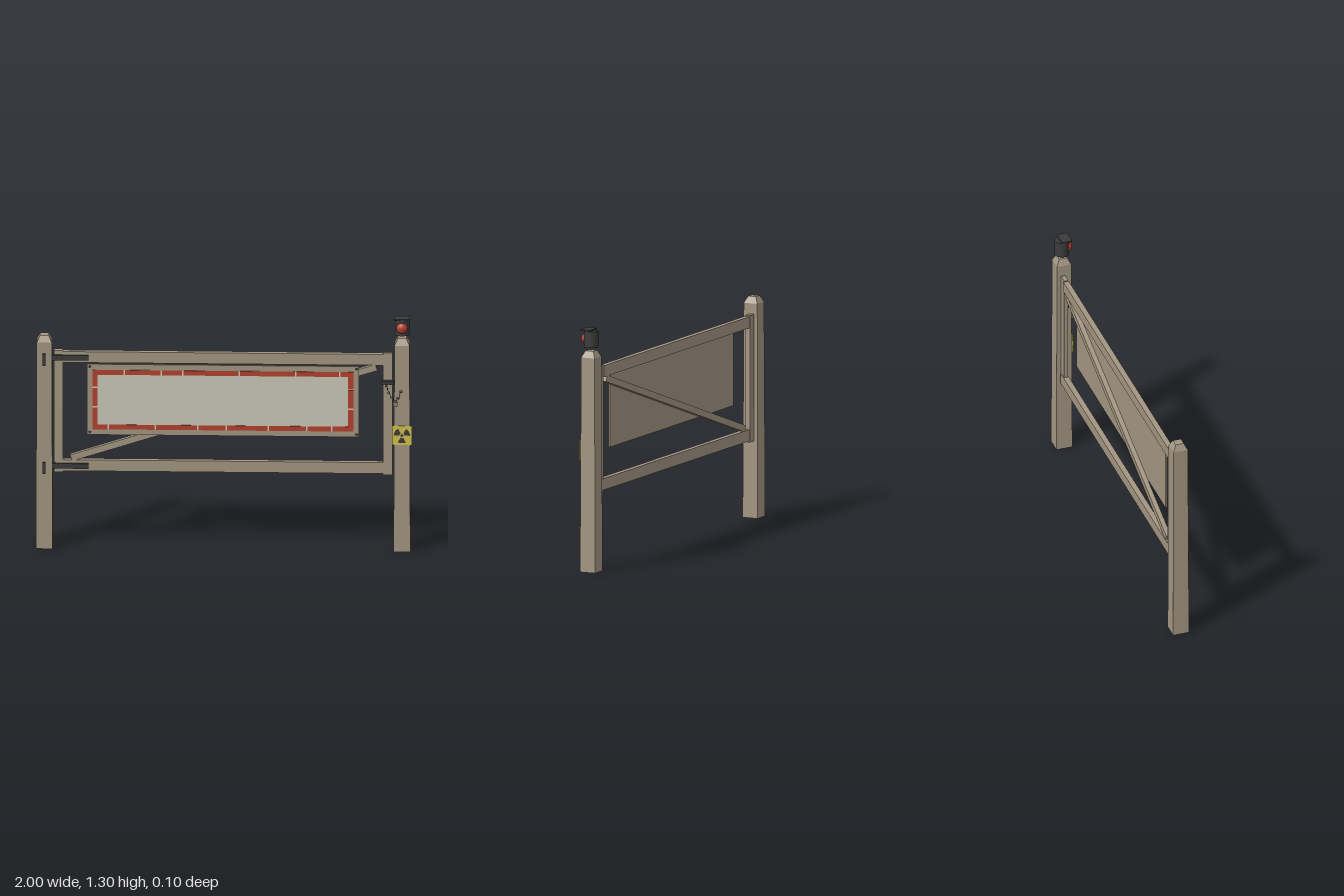
import * as THREE from 'three';

const mat = (name, color, flat = false) => {
  const m = new THREE.MeshStandardMaterial({ color });
  m.name = name;
  m.flatShading = flat;
  return m;
};

export function createModel() {
  const wood = mat('weatheredWood', 0xa39682, true);
  const panel = mat('palePanel', 0xcbc7b8);
  const red = mat('fadedRed', 0xb5402f);
  const dark = mat('darkIron', 0x3b3b3c);
  const yellow = mat('warningYellow', 0xd2c04e);
  const steel = mat('greySteel', 0x85837d);
  const root = new THREE.Group();

  const add = (name, geo, m, parent = root) => {
    const mesh = new THREE.Mesh(geo, m);
    mesh.name = name;
    parent.add(mesh);
    return mesh;
  };
  // Box given by its limits on each axis
  const box = (name, m, x0, x1, y0, y1, z0, z1, parent = root) => {
    const mesh = add(name, new THREE.BoxGeometry(x1 - x0, y1 - y0, z1 - z0), m, parent);
    mesh.position.set((x0 + x1) / 2, (y0 + y1) / 2, (z0 + z1) / 2);
    return mesh;
  };
  const group = (name) => {
    const g = new THREE.Group();
    g.name = name;
    root.add(g);
    return g;
  };

  // Square posts, slightly tapered with chamfered tops
  const profile = [[0, 0], [0.0445, 0], [0.043, 0.4], [0.04, 1.155], [0.023, 1.19], [0, 1.19]]
    .map(([r, y]) => new THREE.Vector2(r * Math.SQRT2, y));
  for (const [name, x] of [['rightPost', -0.956], ['leftPost', 0.942]]) {
    const geo = new THREE.LatheGeometry(profile, 4).rotateY(Math.PI / 4);
    add(name, geo, wood).position.set(x, 0, -0.005);
  }

  // Gate frame
  const gate = group('gate');
  box('hingeStile', wood, -0.906, -0.858, 0.417, 1.1, -0.032, -0.002, gate);
  box('latchStile', wood, 0.84, 0.89, 0.417, 1.1, -0.026, -0.004, gate);
  box('topRail', wood, -0.895, 0.845, 1.033, 1.094, -0.03, 0, gate);
  box('bottomRail', wood, -0.895, 0.885, 0.425, 0.487, -0.03, 0, gate);

  // Diagonal brace behind the board
  const a = new THREE.Vector2(-0.815, 0.497), b = new THREE.Vector2(0.805, 1.02);
  const brace = add('brace', new THREE.BoxGeometry(a.distanceTo(b), 0.036, 0.026), wood, gate);
  brace.position.set((a.x + b.x) / 2, (a.y + b.y) / 2, -0.0135);
  brace.rotation.z = Math.atan2(b.y - a.y, b.x - a.x);

  // Sign board with pale face and broken red border
  const sign = group('signBoard');
  box('board', wood, -0.73, 0.714, 0.633, 1.028, 0, 0.01, sign);
  box('signFace', panel, -0.7, 0.683, 0.664, 0.997, 0.009, 0.0115, sign);
  const gap = 0.004;
  const strip = (cuts, make) => {
    for (let i = 0; i + 1 < cuts.length; i++) {
      make(cuts[i] + (i ? gap : 0), cuts[i + 1] - (i + 2 < cuts.length ? gap : 0));
    }
  };
  const border = (x0, x1, y0, y1) => box('borderStrip', red, x0, x1, y0, y1, 0.011, 0.013, sign);
  strip([-0.7, -0.533, -0.335, -0.222, 0.078, 0.377, 0.612, 0.683],
    (s, e) => border(s, e, 0.97, 0.997));
  strip([-0.7, -0.618, -0.367, -0.142, 0.008, 0.233, 0.436, 0.57, 0.683],
    (s, e) => border(s, e, 0.664, 0.691));
  for (const x of [-0.7, 0.656]) {
    strip([0.691, 0.79, 0.9, 0.97], (s, e) => border(x, x + 0.027, s, e));
  }
  for (const x of [-0.716, 0.7]) for (const y of [0.647, 1.014]) {
    const screw = add('screw', new THREE.CylinderGeometry(0.007, 0.007, 0.005, 10), dark, sign);
    screw.rotation.x = Math.PI / 2;
    screw.position.set(x, y, 0.0115);
  }

  // Hinges: post plate and long strap
  for (const y of [1.062, 0.455]) {
    const hinge = group('hinge');
    box('hingePlate', dark, -0.966, -0.949, y - 0.032, y + 0.032, 0.034, 0.051, hinge);
    box('hingeStrap', dark, -0.92, -0.722, y - 0.014, y + 0.014, -0.003, 0.012, hinge);
  }

  // Latch bar, hanging chain and padlock
  const latch = group('latch');
  box('latchBar', dark, 0.834, 0.9, 0.93, 0.949, -0.005, 0.016, latch);
  const v = (x, y, z) => new THREE.Vector3(x, y, z);
  const chains = [
    new THREE.CatmullRomCurve3([v(0.858, 0.925, 0.014), v(0.88, 0.872, 0.032), v(0.906, 0.85, 0.042)]),
    new THREE.CatmullRomCurve3([v(0.937, 0.9, 0.042), v(0.922, 0.865, 0.043), v(0.906, 0.85, 0.042)]),
  ];
  chains.forEach((curve, k) => {
    const n = k ? 4 : 6;
    for (let i = 0; i < n; i++) {
      const link = add('chainLink', new THREE.TorusGeometry(0.006, 0.0018, 6, 10), dark, latch);
      link.position.copy(curve.getPoint(i / n));
      link.rotation.y = i % 2 ? Math.PI / 2 : 0;
    }
  });
  const shackle = add('padlockShackle', new THREE.TorusGeometry(0.008, 0.0025, 6, 12, Math.PI), steel, latch);
  shackle.position.set(0.906, 0.842, 0.042);
  box('padlockBody', steel, 0.894, 0.918, 0.815, 0.842, 0.037, 0.047, latch);

  // Yellow warning plate with three-bladed symbol
  const warning = group('warningPlate');
  warning.position.set(0.942, 0.655, 0.041);
  warning.rotation.z = -0.02;
  box('plate', yellow, -0.053, 0.053, -0.054, 0.054, -0.002, 0.001, warning);
  for (let i = 0; i < 3; i++) {
    const start = Math.PI * 2 / 3 * i;
    add('symbolBlade', new THREE.RingGeometry(0.013, 0.043, 10, 1, start, Math.PI / 3), dark, warning)
      .position.z = 0.0025;
  }
  add('symbolCentre', new THREE.CircleGeometry(0.008, 16), dark, warning).position.z = 0.0025;

  // Warning lamp above the left post
  const lamp = group('warningLamp');
  lamp.position.set(0.942, 1.252, -0.004);
  add('lampBody', new THREE.CylinderGeometry(0.039, 0.039, 0.087, 24), dark, lamp);
  box('lampHood', dark, -0.042, 0.042, 0.046, 0.053, -0.014, 0.044, lamp);
  const lens = add('lampLens', new THREE.SphereGeometry(0.03, 20, 12), red, lamp);
  lens.scale.z = 0.75;
  lens.position.z = 0.032;

  return root;
}
